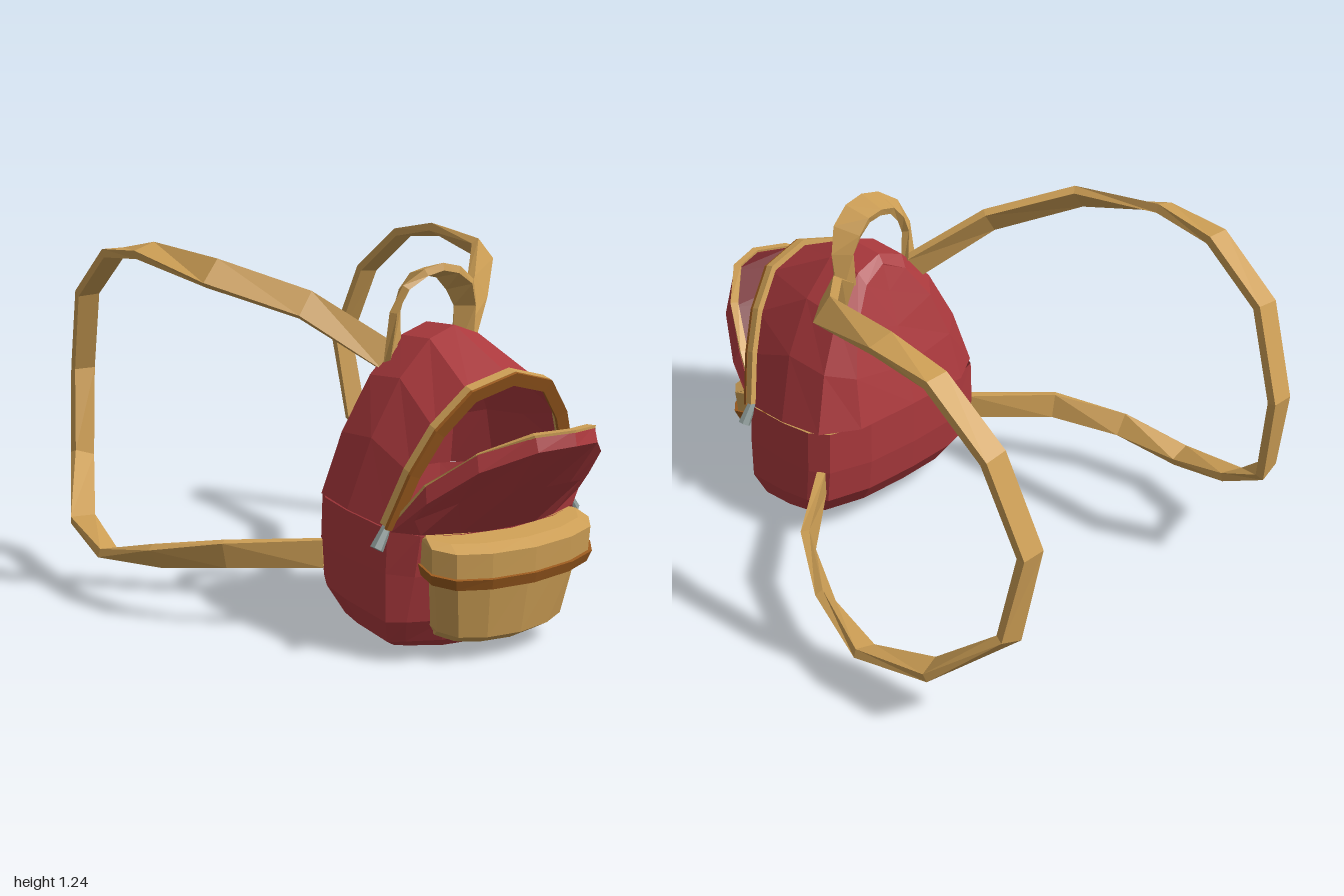
import * as THREE from 'three';

const V = (x, y, z) => new THREE.Vector3(x, y, z);

const mat = (name, color) => {
  const m = new THREE.MeshStandardMaterial({ color, flatShading: true, side: THREE.DoubleSide });
  m.name = name;
  return m;
};

// Skin rows of points with triangles; closed joins the last column to the first
function loft(rows, closed = false) {
  const pos = [];
  const tri = (a, b, c) => {
    const area = b.clone().sub(a).cross(c.clone().sub(a)).length();
    if (area > 1e-7) for (const p of [a, b, c]) pos.push(p.x, p.y, p.z);
  };
  for (let i = 0; i < rows.length - 1; i++) {
    const r = rows[i], s = rows[i + 1], n = r.length;
    for (let j = 0; j < (closed ? n : n - 1); j++) {
      const k = (j + 1) % n;
      tri(r[j], r[k], s[k]);
      tri(r[j], s[k], s[j]);
    }
  }
  const g = new THREE.BufferGeometry();
  g.setAttribute('position', new THREE.Float32BufferAttribute(pos, 3));
  g.computeVertexNormals();
  return g;
}

const flipX = p => V(-p.x, p.y, p.z);
// Half arch (side to centre) mirrored to a whole arch
const arch = half => {
  const h = half.map(p => V(...p));
  return [...h, ...h.slice(0, -1).reverse().map(flipX)];
};
// Half ring (front centre to back centre) mirrored to a whole ring
const ring = half => [...half, ...half.slice(1, -1).reverse().map(flipX)];
const same = (p, n) => Array(n).fill(p);

// Flat strap along points; each width vector is half the strap's width
function ribbon(points, widths, thick) {
  const rows = points.map((p, i) => {
    const t = points[Math.min(i + 1, points.length - 1)].clone().sub(points[Math.max(i - 1, 0)]).normalize();
    const w = widths[i].clone();
    const len = w.length();
    w.addScaledVector(t, -w.dot(t)).setLength(len);
    const n = t.clone().cross(w).setLength(thick / 2);
    return [[1, 1], [-1, 1], [-1, -1], [1, -1]].map(([a, b]) => p.clone().addScaledVector(w, a).addScaledVector(n, b));
  });
  return loft([same(points[0], 4), ...rows, same(points[points.length - 1], 4)], true);
}

export function createModel() {
  const group = new THREE.Group();
  const red = mat('red fabric', 0xab393d);
  const lining = mat('dark red lining', 0x702429);
  const tan = mat('tan leather', 0xcb9d54);
  const brown = mat('brown leather', 0x9a5a1e);
  const metal = mat('grey metal', 0x8d9a98);
  const add = (name, geo, m) => {
    const mesh = new THREE.Mesh(geo, m);
    mesh.name = name;
    group.add(mesh);
    return mesh;
  };

  // Lower body: rings from the bottom up, tilted backwards
  const tubRing = ([w, zb, yb, zs, zf, yf]) => {
    const at = (x, z) => V(x, yf + (yb - yf) * (zf - z) / (zf - zb), z);
    return ring([
      at(0, zf), at(w * 0.5, zf - 0.02), at(w * 0.82, zf - 0.06), at(w * 0.97, zs),
      at(w, (zs + zb) / 2 + 0.03), at(w * 0.98, zb + 0.13), at(w * 0.88, zb + 0.06), at(w * 0.5, zb + 0.01), at(0, zb),
    ]);
  };
  const tub = [
    [0.30, 0.27, 0.07, 0.50, 0.58, 0.005],
    [0.36, 0.19, 0.12, 0.54, 0.62, 0.04],
    [0.393, 0.135, 0.20, 0.57, 0.66, 0.12],
    [0.393, 0.12, 0.32, 0.57, 0.70, 0.28],
    [0.385, 0.12, 0.48, 0.57, 0.72, 0.41],
  ].map(tubRing);
  add('lowerBody', loft([same(V(0, 0.035, 0.43), 16), ...tub], true), red);

  // Upper body: arches from the back panel forward to the open mouth
  const mouth = arch([[0.37, 0.43, 0.565], [0.315, 0.60, 0.61], [0.25, 0.73, 0.65], [0.15, 0.84, 0.69], [0, 0.88, 0.705]]);
  add('upperBody', loft([
    arch([[0, 0.48, 0.12], [0, 0.62, 0.155], [0, 0.76, 0.20], [0, 0.88, 0.24], [0, 0.97, 0.27]]),
    arch([[0.24, 0.475, 0.13], [0.22, 0.65, 0.17], [0.17, 0.81, 0.215], [0.09, 0.93, 0.255], [0, 0.975, 0.27]]),
    arch([[0.365, 0.47, 0.21], [0.305, 0.67, 0.24], [0.215, 0.85, 0.27], [0.10, 0.97, 0.285], [0, 1.005, 0.29]]),
    arch([[0.387, 0.455, 0.38], [0.315, 0.68, 0.41], [0.215, 0.86, 0.425], [0.10, 0.975, 0.43], [0, 1.01, 0.43]]),
    mouth,
  ]), red);

  // Trim around the mouth: tan rim and brown face
  const hub = V(0, 0.43, 0.55);
  const inward = (pts, len) => pts.map(p => hub.clone().sub(p).setLength(len));
  const shift = (pts, x, y, z) => pts.map(p => V(p.x * x, p.y + y, p.z + z));
  add('mouthRim', ribbon(shift(mouth, 1.01, 0.01, 0), mouth.map(() => V(0, -0.004, 0.016)), 0.03), tan);
  add('mouthTrim', ribbon(shift(mouth, 1, -0.002, 0.015), inward(mouth, 0.022), 0.012), brown);

  // Front flap, folded open and down
  const rim = arch([[0.365, 0.43, 0.57], [0.32, 0.58, 0.69], [0.24, 0.69, 0.83], [0.12, 0.755, 0.95], [0, 0.762, 0.99]]);
  add('frontFlap', loft([
    rim,
    arch([[0.37, 0.42, 0.58], [0.335, 0.53, 0.71], [0.25, 0.64, 0.85], [0.12, 0.705, 0.965], [0, 0.715, 1.0]]),
    arch([[0.37, 0.42, 0.58], [0.34, 0.47, 0.66], [0.25, 0.53, 0.76], [0.12, 0.56, 0.85], [0, 0.565, 0.87]]),
    arch([[0.37, 0.42, 0.575], [0.315, 0.42, 0.66], [0.19, 0.415, 0.70], [0.1, 0.41, 0.715], [0, 0.41, 0.72]]),
  ]), red);
  const inner = shift(rim, 0.96, -0.02, -0.005);
  const half = inner.slice(0, 5);
  add('flapLining', loft([half.map(flipX), half]), lining);
  add('flapZip', ribbon(shift(rim, 0.96, -0.003, -0.01), rim.map(p => V(-p.x, 0, 0.65 - p.z).setLength(0.014)), 0.008), tan);

  // Front pocket with a lid and a brown edge band
  const pocketRing = ([y, w, zf, zb]) => {
    const at = (x, z) => V(x, y + (zf - z) * 0.2, z);
    return ring([at(0, zf), at(w * 0.5, zf - 0.015), at(w * 0.85, zf - 0.05), at(w, zf - 0.11), at(w * 0.95, zb), at(0, zb)]);
  };
  const pocketPart = (name, rows, m) => {
    const r = rows.map(pocketRing), n = r[0].length;
    const mid = a => a[0].clone().lerp(a[5], 0.5);
    add(name, loft([same(mid(r[0]), n), ...r, same(mid(r[r.length - 1]), n)], true), m);
  };
  pocketPart('pocket', [[0.05, 0.22, 0.72, 0.58], [0.08, 0.25, 0.77, 0.58], [0.28, 0.29, 0.805, 0.62]], tan);
  pocketPart('pocketBand', [[0.255, 0.318, 0.828, 0.63], [0.29, 0.33, 0.84, 0.63]], brown);
  pocketPart('pocketLid', [[0.285, 0.32, 0.83, 0.63], [0.37, 0.325, 0.835, 0.65], [0.392, 0.31, 0.79, 0.66]], tan);

  // Carrying handle: a strip that twists from the feet to the top
  const grip = arch([[0.145, 0.87, 0.295], [0.145, 1.05, 0.31], [0.115, 1.12, 0.318], [0.06, 1.165, 0.325], [0, 1.178, 0.325]]);
  const gripWide = arch([[0.032, 0, 0.01], [0.026, 0, 0.025], [0.02, 0.015, 0.04], [0.01, 0.01, 0.048], [0, 0.012, 0.05]]);
  gripWide.slice(5).forEach(w => w.set(w.x, w.y, w.z));
  add('handle', ribbon(grip, gripWide, 0.025), tan);

  // Shoulder straps: point and half width at each bend
  const strap = [
    [[0.15, 0.90, 0.29], [0.03, -0.035, -0.01]],
    [[0.36, 1.07, 0.12], [0.03, -0.035, 0]],
    [[0.57, 1.165, -0.10], [0.033, -0.035, 0]],
    [[0.63, 1.215, -0.42], [0.04, -0.012, 0]],
    [[0.63, 1.19, -0.64], [0.04, 0, 0]],
    [[0.62, 1.03, -0.86], [0.04, 0, 0]],
    [[0.585, 0.74, -0.98], [0.04, 0, 0]],
    [[0.62, 0.43, -0.94], [0.04, 0, 0.01]],
    [[0.735, 0.245, -0.73], [0.042, -0.008, 0]],
    [[0.775, 0.18, -0.47], [0.038, 0.012, 0]],
    [[0.725, 0.222, -0.23], [0.025, 0.034, 0]],
    [[0.60, 0.26, 0.0], [0.012, 0.043, 0]],
    [[0.36, 0.27, 0.21], [0, 0.046, 0]],
  ];
  for (const [s, side] of [[1, 'left'], [-1, 'right']]) {
    const pts = strap.map(([p]) => V(s * p[0], p[1], p[2]));
    const wid = strap.map(([, w]) => V(s * w[0], w[1], w[2]));
    add(side + 'ShoulderStrap', ribbon(pts, wid, 0.03), tan);

    // Zip pull
    const pull = add(side + 'ZipPull', new THREE.CylinderGeometry(0.014, 0.022, 0.09, 6), metal);
    pull.position.set(s * 0.388, 0.41, 0.565);
    pull.rotation.z = s * 0.55;
  }
  return group;
}
